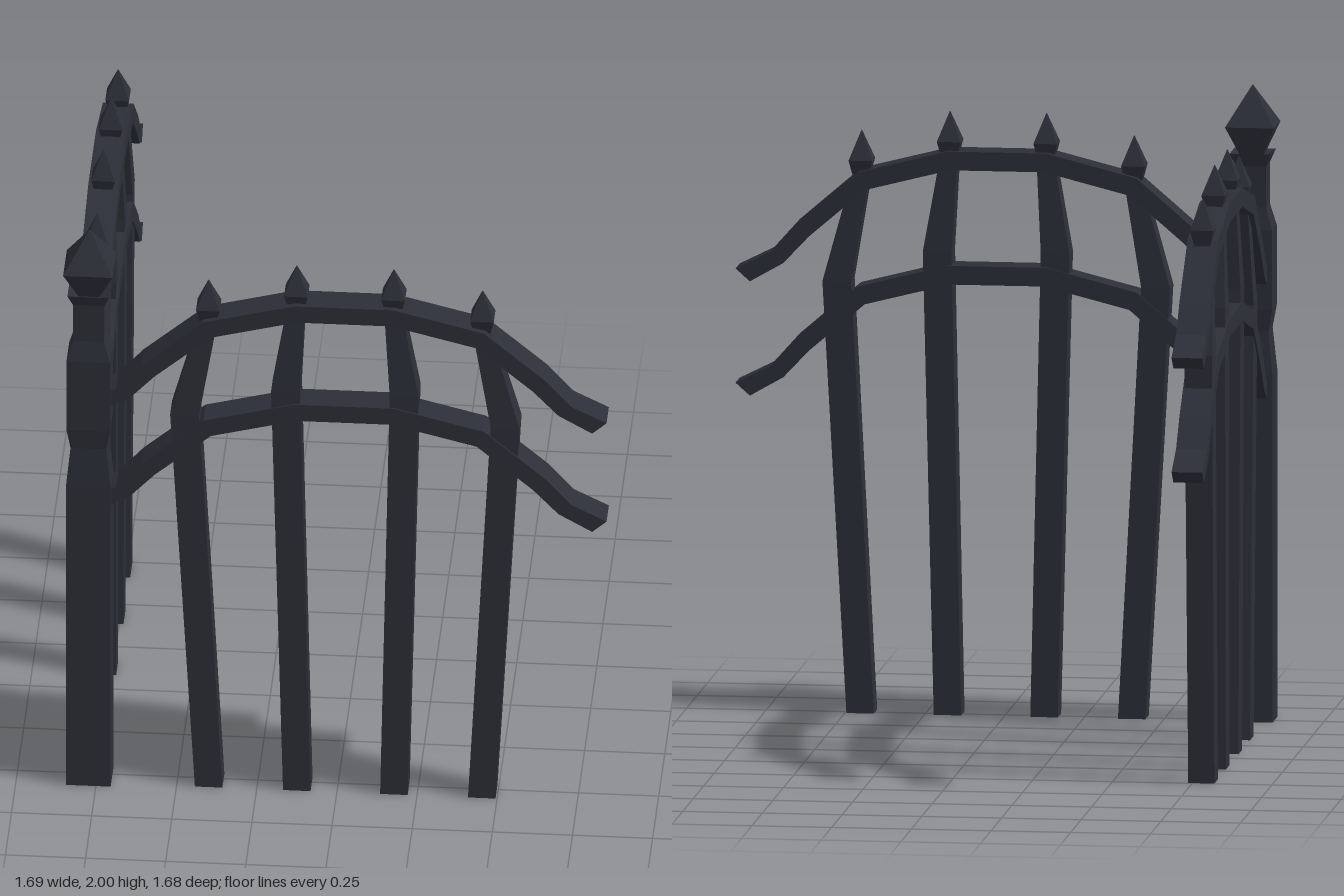
import * as THREE from 'three';

const material = new THREE.MeshStandardMaterial({ color: 0x2c2f38, flatShading: true });

// Skin a run of four-cornered sections (corners counter-clockwise seen from the far end), with caps
function loft(name, sections) {
  const pos = [];
  const quad = (a, b, c, d) => [a, b, c, a, c, d].forEach((p) => pos.push(...p));
  for (let i = 0; i < sections.length - 1; i++) {
    const s = sections[i], t = sections[i + 1];
    for (let k = 0; k < 4; k++) {
      const n = (k + 1) % 4;
      quad(s[k], s[n], t[n], t[k]);
    }
  }
  const a = sections[0], b = sections[sections.length - 1];
  quad(a[3], a[2], a[1], a[0]);
  quad(b[0], b[1], b[2], b[3]);
  const geo = new THREE.BufferGeometry();
  geo.setAttribute('position', new THREE.Float32BufferAttribute(pos, 3));
  geo.computeVertexNormals();
  const mesh = new THREE.Mesh(geo, material);
  mesh.name = name;
  return mesh;
}

// Upright bar from rows of [centre x, y, half width, half depth]
const bar = (name, rows) => loft(name, rows.map(([x, y, w, d]) =>
  [[x - w, y, d], [x + w, y, d], [x + w, y, -d], [x - w, y, -d]]));

// Pyramid spike on a short inverted pyramid
const finial = (name, x, y, base, wide, neck, tip) => bar(name, [
  [x, y, base, base], [x, y + neck, wide, wide], [x, y + tip, 0.001, 0.001],
]);

// Right half of the arched rail: top x, top y, bottom x, bottom y
const RAIL = [
  [0.155, 1.777, 0.148, 1.718], [0.438, 1.705, 0.415, 1.65], [0.63, 1.54, 0.59, 1.5],
  [0.71, 1.45, 0.67, 1.415], [0.82, 1.395, 0.775, 1.355],
];

function rail(name, drop) {
  const d = 0.048, cx = 0.022;
  const left = RAIL.map(([a, b, c, e]) => [-a, b, -c, e]).reverse();
  return loft(name, [...left, ...RAIL].map(([tx, ty, bx, by]) => [
    [tx + cx, ty - drop, -d], [tx + cx, ty - drop, d],
    [bx + cx, by - drop, d], [bx + cx, by - drop, -d],
  ]));
}

// Pickets: foot x, bend x, bend y, top x, top y
const PICKETS = [
  [-0.4, -0.475, 1.36, -0.403, 1.69], [-0.125, -0.16, 1.46, -0.128, 1.755],
  [0.178, 0.21, 1.46, 0.175, 1.755], [0.452, 0.525, 1.36, 0.452, 1.69],
];

function panel(name) {
  const g = new THREE.Group();
  g.name = name;
  g.add(rail('upperRail', 0), rail('lowerRail', 0.36));
  for (const [fx, bx, by, tx, ty] of PICKETS) {
    g.add(bar('picket', [
      [fx, 0, 0.043, 0.041], [bx, by, 0.045, 0.043], [tx, ty, 0.028, 0.03],
    ]));
    g.add(finial('picketFinial', tx, ty, 0.025, 0.037, 0.05, 0.142));
  }
  return g;
}

export function createModel() {
  const model = new THREE.Group();
  model.name = 'cornerFence';

  // Corner post with waist, shoulder and flared collar
  const post = new THREE.Group();
  post.name = 'cornerPost';
  post.position.set(-0.774, 0, 0.766);
  post.add(bar('postShaft', [
    [0, 0, 0.07, 0.058], [0, 1.09, 0.07, 0.058], [0, 1.23, 0.056, 0.05],
    [0, 1.3, 0.068, 0.058], [0, 1.55, 0.068, 0.058], [0, 1.62, 0.048, 0.045],
    [0, 1.75, 0.048, 0.045], [0, 1.79, 0.065, 0.06], [0, 1.775, 0.035, 0.035],
  ]));
  post.add(finial('postFinial', 0, 1.77, 0.03, 0.077, 0.105, 0.23));
  model.add(post);

  // Two identical panels meeting at the post
  const front = panel('frontPanel');
  front.position.z = 0.762;
  const side = panel('sidePanel');
  side.rotation.y = Math.PI / 2;
  side.position.x = -0.778;
  model.add(front, side);
  return model;
}
